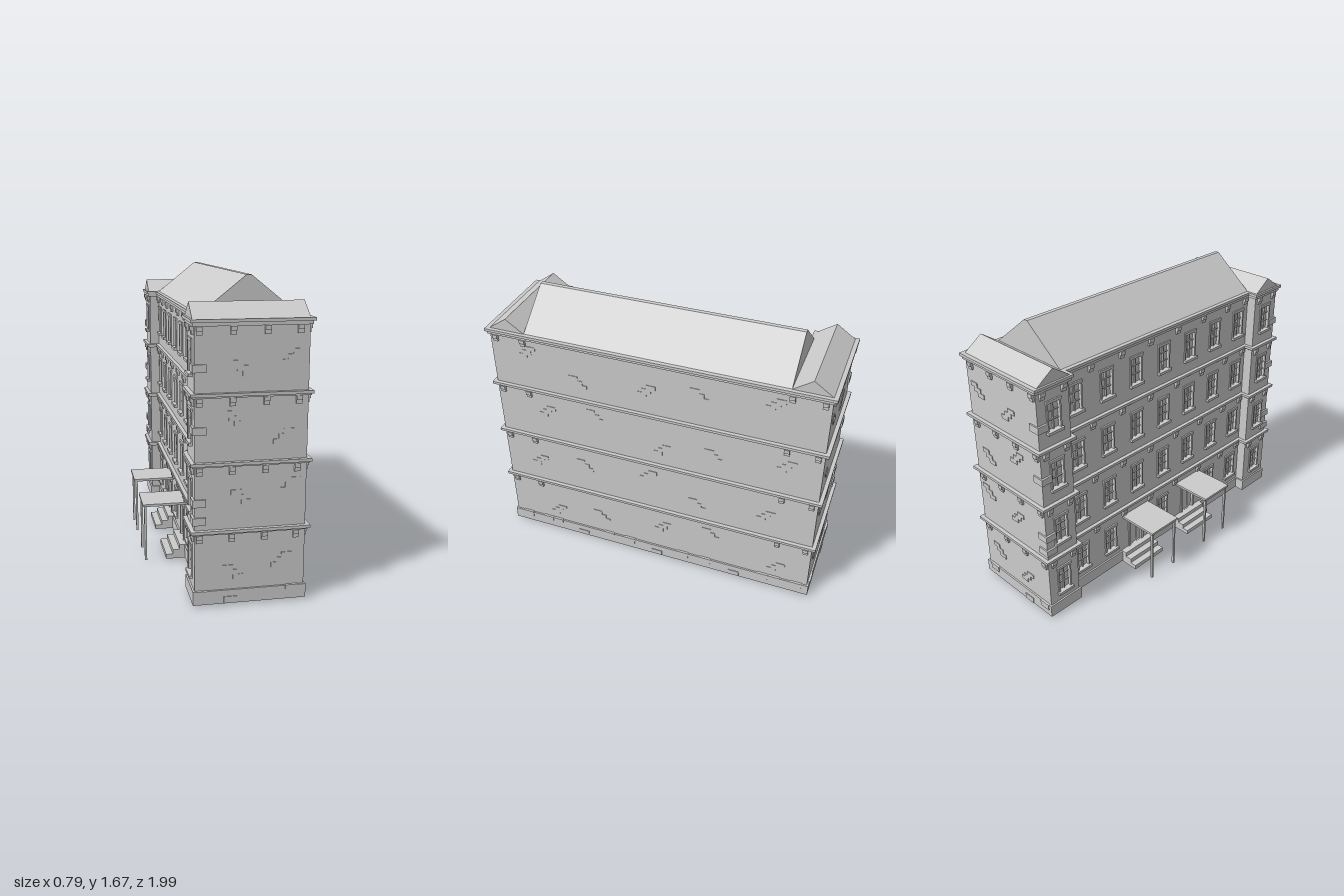
import * as THREE from 'three';

const mat = new THREE.MeshStandardMaterial({ color: 0xcccccc, flatShading: true });
// Main outline: plain side at X1, recessed facade at XM, wings reaching XW
const X1 = 0.37, XM = -0.145, XW = -0.205, ZE = 0.975, ZI = 0.765;
const floors = [0.06, 0.41, 0.765, 1.113];
const bandTops = [0.412, 0.765, 1.113, 1.472];

function add(parent, name, geo, x = 0, y = 0, z = 0) {
  const m = new THREE.Mesh(geo, mat);
  m.name = name;
  m.position.set(x, y, z);
  parent.add(m);
  return m;
}

// Box given by its limits on each axis
function block(parent, name, x0, x1, y0, y1, z0, z1) {
  return add(parent, name, new THREE.BoxGeometry(x1 - x0, y1 - y0, z1 - z0),
    (x0 + x1) / 2, (y0 + y1) / 2, (z0 + z1) / 2);
}

function polygon(points, Type = THREE.Shape) {
  return new Type(points.map(([x, y]) => new THREE.Vector2(x, y)));
}

function extrude(shape, depth) {
  return new THREE.ExtrudeGeometry(shape, { depth, bevelEnabled: false });
}

// Building footprint, grown outward by o
function footprint(o) {
  const e = ZE + o, i = ZI - o, w = XW - o, m = XM - o, r = X1 + o;
  return [[r, -e], [r, e], [w, e], [w, i], [m, i], [m, -i], [w, -i], [w, -e]];
}

function slab(parent, name, o, y0, y1, inner) {
  const s = polygon(footprint(o));
  if (inner !== undefined) s.holes.push(polygon(footprint(inner).reverse(), THREE.Path));
  return add(parent, name, extrude(s, y1 - y0).rotateX(-Math.PI / 2), 0, y0, 0);
}

// Wall facing -x with rectangular openings [z, y0, y1, width]
function facade(parent, name, x, z0, z1, openings) {
  const s = polygon([[z0, 0.012], [z1, 0.012], [z1, 1.45], [z0, 1.45]]);
  for (const [z, a, b, w] of openings)
    s.holes.push(polygon([[z - w / 2, a], [z - w / 2, b], [z + w / 2, b], [z + w / 2, a]], THREE.Path));
  add(parent, name, extrude(s, 0.02).rotateY(-Math.PI / 2), x + 0.02, 0, 0);
}

const W = 0.085, H = 0.165;

// Sash window with frame, glazing bars, lintel and sill
function windowAt(parent, x, y, z) {
  const g = new THREE.Group();
  g.name = 'window';
  g.position.set(x, y, z);
  parent.add(g);
  const h = W / 2, f = 0.01;
  block(g, 'pane', 0.012, 0.017, 0, H, -h, h);
  for (const s of [-1, 1]) {
    const c = s * h;
    block(g, 'frameSide', -0.007, 0.014, 0, H, c - f / 2, c + f / 2);
  }
  block(g, 'lintel', -0.009, 0.012, H - 0.004, H + 0.012, -h - 0.008, h + 0.008);
  block(g, 'sill', -0.02, 0.012, -0.012, 0.004, -h - 0.01, h + 0.01);
  block(g, 'mullion', 0.003, 0.013, 0, H, -0.004, 0.004);
  for (const t of [0.36, 0.68]) block(g, 'glazingBar', 0.004, 0.013, H * t - 0.003, H * t + 0.003, -h, h);
}

// Small stepped group of raised bricks; side 'x' is the plain wall, else an end wall
function brickPatch(parent, side, u, y, dir) {
  for (let i = 0; i < 3; i++) {
    const a = u + dir * i * 0.027, b = y + i * 0.026;
    if (side === 'x') block(parent, 'raisedBrick', X1 - 0.005, X1 + 0.003, b, b + 0.026, a - 0.027, a + 0.027);
    else block(parent, 'raisedBrick', a - 0.027, a + 0.027, b, b + 0.026, side * ZE - 0.004, side * ZE + 0.004);
  }
}

// Stepped bracket below a cornice; n is the outward direction
function bracket(parent, x, top, z, nx, nz) {
  for (const [d, a, b] of [[0.018, 0.022, 0], [0.011, 0.042, 0.022]]) {
    const w = nx ? d : 0.03, l = nz ? d : 0.03;
    add(parent, 'corniceBracket', new THREE.BoxGeometry(w, a - b, l),
      x + nx * d / 2, top - (a + b) / 2, z + nz * d / 2);
  }
}

// Canopy on two posts above three steps and a panelled door
function entrance(parent, z) {
  const g = new THREE.Group();
  g.name = 'entrance';
  g.position.z = z;
  parent.add(g);
  block(g, 'canopy', -0.395, XM, 0.329, 0.343, -0.11, 0.11);
  for (const s of [-1, 1])
    add(g, 'canopyPost', new THREE.BoxGeometry(0.013, 0.33, 0.013), -0.38, 0.165, s * 0.095);
  for (let i = 0; i < 3; i++)
    block(g, 'step', -0.265 + i * 0.04, XM, 0.008 + i * 0.027, 0.035 + i * 0.027, -0.122, 0.122);
  block(g, 'door', XM + 0.008, XM + 0.015, 0.09, 0.29, -0.05, 0.05);
  for (const s of [-1, 1]) {
    block(g, 'doorFrame', XM - 0.008, XM + 0.012, 0.09, 0.3, s * 0.055 - 0.007, s * 0.055 + 0.007);
    block(g, 'doorPanel', XM + 0.003, XM + 0.01, 0.11, 0.27, s * 0.024 - 0.016, s * 0.024 + 0.016);
  }
  block(g, 'doorLintel', XM - 0.01, XM + 0.012, 0.288, 0.305, -0.064, 0.064);
}

export function createModel() {
  const model = new THREE.Group();
  model.name = 'apartmentBuilding';
  const bays = [-3, -2, -1, 0, 1, 2, 3].map(i => i * 0.225);
  const doors = [-0.24, 0.24];

  // Window and door openings
  const mainHoles = [], wingHoles = [[], []];
  floors.forEach((f, k) => {
    const y = f + 0.085;
    for (const [i, z] of bays.entries()) {
      if (k === 0 && (i === 2 || i === 4)) continue;
      mainHoles.push([z, y, y + H, W]);
      windowAt(model, XM, y, z);
    }
    [-0.87, 0.87].forEach((z, i) => {
      wingHoles[i].push([z, y, y + H, W]);
      windowAt(model, XW, y, z);
    });
  });
  for (const z of doors) {
    mainHoles.push([z, 0.09, 0.29, 0.1]);
    entrance(model, z);
  }

  // Hollow walls, open underneath
  facade(model, 'entranceWall', XM, -ZI - 0.02, ZI + 0.02, mainHoles);
  facade(model, 'wingWall', XW, -ZE, -ZI, wingHoles[0]);
  facade(model, 'wingWall', XW, ZI, ZE, wingHoles[1]);
  block(model, 'plainWall', X1 - 0.02, X1, 0.012, 1.45, -ZE, ZE);
  for (const s of [-1, 1]) {
    add(model, 'endWall', new THREE.BoxGeometry(X1 - XW, 1.438, 0.02), (X1 + XW) / 2, 0.731, s * (ZE - 0.01));
    add(model, 'wingReturnWall', new THREE.BoxGeometry(XM - XW + 0.02, 1.438, 0.02),
      (XM + XW + 0.02) / 2, 0.731, s * (ZI + 0.01));
  }

  // Stone plinth with raised blocks
  slab(model, 'plinth', 0.01, 0.012, 0.085, -0.015);
  for (const z of [0.89, 0.745, 0.675, 0.31, 0.17, -0.19, -0.335, -0.7, -0.775, -0.91])
    block(model, 'plinthStone', X1, X1 + 0.014, 0.052, 0.09, z - 0.034, z + 0.034);
  for (const z of [0.49, -0.015, -0.52])
    block(model, 'plinthStone', X1, X1 + 0.014, 0.018, 0.05, z - 0.034, z + 0.034);
  for (const s of [-1, 1]) for (const [x, y] of [[0.305, 0.052], [-0.02, 0.014], [-0.16, 0.05]])
    add(model, 'plinthStone', new THREE.BoxGeometry(0.07, 0.036, 0.014), x, y + 0.018, s * (ZE + 0.007));

  // Cornices and their brackets
  bandTops.forEach((t, k) => {
    const h = k === 3 ? 0.034 : 0.024;
    slab(model, 'corniceLower', 0.012, t - h, t - 0.012);
    slab(model, 'corniceUpper', 0.022, t - 0.016, t);
    const b = t - h;
    for (const s of [-1, 1]) {
      for (const x of [-0.182, -0.015, 0.155, 0.32]) bracket(model, x, b, s * ZE, 0, s);
      for (const z of [0.94, 0.77]) bracket(model, X1, b, s * z, 1, 0);
      for (const z of [0.94, 0.8]) bracket(model, XW, b, s * z, -1, 0);
      for (const z of [0.1125, 0.3375, 0.5625, 0.735]) bracket(model, XM, b, s * z, -1, 0);
    }
  });

  // Raised bricks and wing corner stones
  floors.forEach((f, k) => {
    for (let i = 0; i < 5; i++)
      brickPatch(model, 'x', -0.75 + i * 0.36 + (k % 2) * 0.09, f + 0.07 + ((i * 3 + k) % 4) * 0.045, i % 2 ? 1 : -1);
    for (const s of [-1, 1]) for (let i = 0; i < 2; i++)
      brickPatch(model, s, 0.02 + i * 0.2 + (k % 2) * 0.04, f + 0.08 + ((i + k) % 3) * 0.05, i ? 1 : -1);
  });
  for (const s of [-1, 1]) for (const y of [1.235, 0.925, 0.555, 0.46])
    add(model, 'cornerStone', new THREE.BoxGeometry(0.07, 0.04, 0.07), XW + 0.023, y, s * (ZE - 0.027));

  // Roofs: long ridge over the main block, cross gables over the wings
  const ridge = polygon([[-0.145, 1.47], [0.37, 1.47], [0.125, 1.666], [0.1, 1.666]]);
  add(model, 'mainRoof', extrude(ridge, 1.52), 0, 0, -0.76);
  for (const s of [-1, 1]) {
    const c = s * 0.866;
    const gable = polygon([[c - 0.11, 1.47], [c + 0.11, 1.47], [c, 1.546]]);
    add(model, 'wingRoof', extrude(gable, 0.585).rotateY(-Math.PI / 2), 0.37, 0, 0);
  }
  return model;
}
